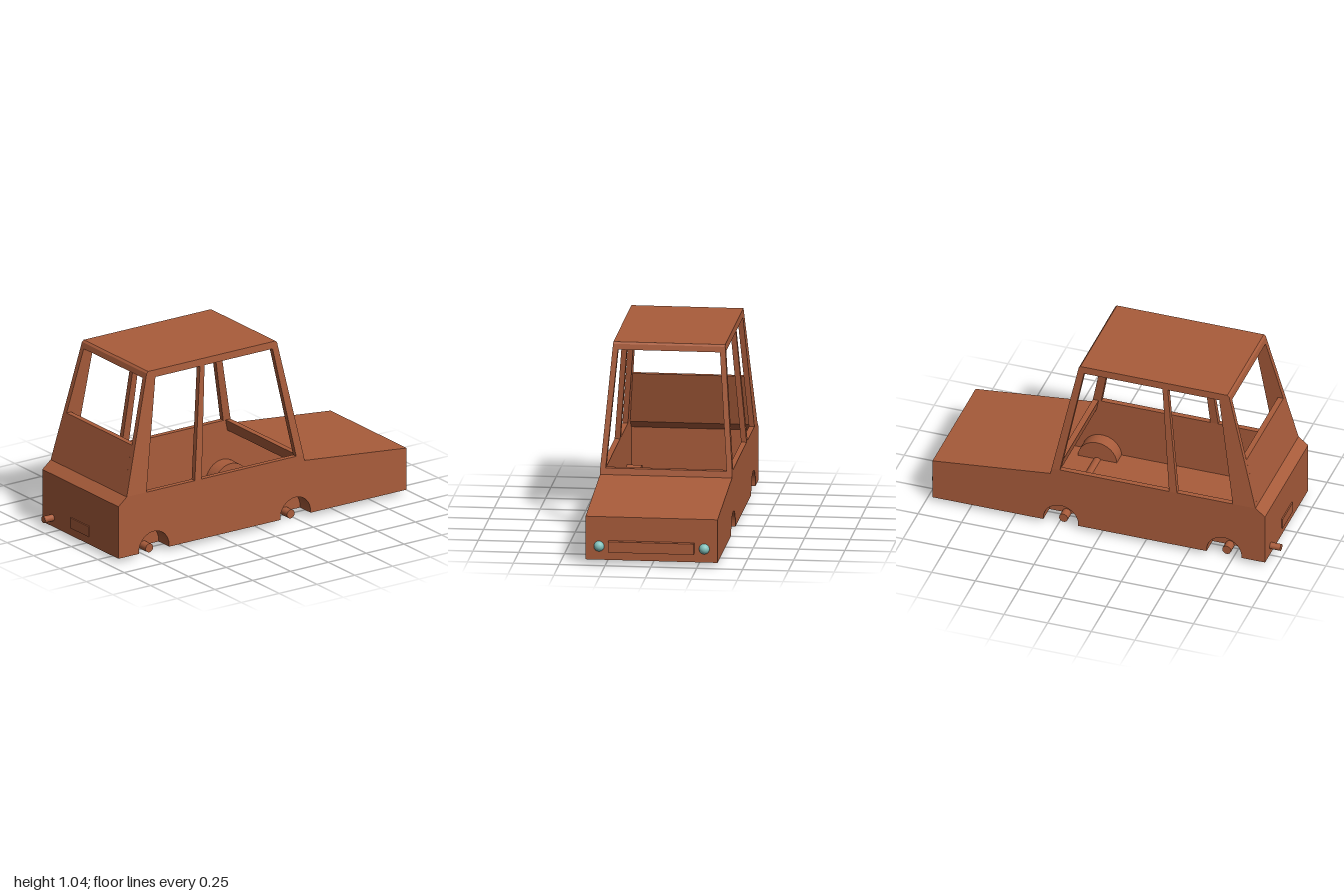
import * as THREE from 'three';

const paint = new THREE.MeshStandardMaterial({ color: 0xa95c3b, side: THREE.DoubleSide });
const glass = new THREE.MeshStandardMaterial({ color: 0x84c4be });

const WALL = 0.03;
const ARCH_Y = 0.035, ARCH_R = 0.1, WELL_Z = 0.26;
const WHEELS = [-0.705, 0.23];

// Half width of the body: straight below the belt line, leaning in above it
const halfWidth = (y) => 0.36 - Math.max(0, y - 0.37) * 0.082;

const polygon = (pts) => new THREE.Shape(pts.map(([x, y]) => new THREE.Vector2(x, y)));

// Extrude a side profile one unit, then place each vertex across the car with zAt(u, y)
function across(shape, zAt) {
  const geo = new THREE.ExtrudeGeometry(shape, { depth: 1, bevelEnabled: false, curveSegments: 16 });
  const p = geo.attributes.position;
  for (let i = 0; i < p.count; i++) p.setZ(i, zAt(p.getZ(i), p.getY(i)));
  geo.computeVertexNormals();
  return geo;
}

export function createModel() {
  const car = new THREE.Group();
  car.name = 'car';
  const add = (name, geo, x = 0, y = 0, z = 0, material = paint) => {
    const mesh = new THREE.Mesh(geo, material);
    mesh.name = name;
    mesh.position.set(x, y, z);
    car.add(mesh);
    return mesh;
  };

  // Lower side with wheel arch cut-outs
  const lower = new THREE.Shape();
  lower.moveTo(-0.94, 0.025);
  for (const x of WHEELS) {
    lower.lineTo(x - ARCH_R, 0.025);
    lower.absarc(x, ARCH_Y, ARCH_R, Math.PI, 0, true);
    lower.lineTo(x + ARCH_R, 0.025);
  }
  for (const [x, y] of [[0.965, 0.025], [0.965, 0.265], [0.29, 0.335], [0.283, 0.37], [-0.885, 0.37], [-0.94, 0.325]])
    lower.lineTo(x, y);

  // Pillars and roof rail around the two side windows
  const frame = polygon([
    [-0.885, 0.37], [-0.755, 0.37], [-0.66, 1.0], [-0.365, 1.0], [-0.435, 0.37], [-0.39, 0.37],
    [-0.335, 1.0], [0.115, 1.0], [0.235, 0.37], [0.283, 0.37], [0.146, 1.03], [0.136, 1.04],
    [-0.705, 1.04], [-0.716, 1.03],
  ]);
  for (const side of [1, -1]) {
    const wall = (u, y) => (side > 0 ? halfWidth(y) - WALL : -halfWidth(y)) + u * WALL;
    const label = side > 0 ? 'left' : 'right';
    add(label + 'LowerSide', across(lower, wall));
    add(label + 'WindowFrame', across(frame, wall));
  }

  // Panels that span between the two sides
  const panels = {
    frontAndHood: [
      [0.965, 0.025], [0.965, 0.265], [0.29, 0.335], [0.283, 0.37], [0.25, 0.37], [0.262, 0.308],
      [0.935, 0.238], [0.935, 0.025],
    ],
    rearPanel: [
      [-0.94, 0.025], [-0.91, 0.025], [-0.91, 0.312], [-0.857, 0.355], [-0.785, 0.64],
      [-0.816, 0.64], [-0.885, 0.37], [-0.94, 0.325],
    ],
    roof: [
      [0.152, 1.0], [0.146, 1.03], [0.136, 1.04], [-0.705, 1.04], [-0.716, 1.03], [-0.724, 1.0],
    ],
  };
  for (const [name, pts] of Object.entries(panels))
    add(name, across(polygon(pts), (u, y) => (2 * u - 1) * (halfWidth(y) - WALL)));

  // Floor, notched at each wheel
  const edge = [[-0.91, 0.33]];
  for (const x of WHEELS)
    edge.push([x - ARCH_R, 0.33], [x - ARCH_R, WELL_Z], [x + ARCH_R, WELL_Z], [x + ARCH_R, 0.33]);
  edge.push([0.935, 0.33]);
  const mirrored = edge.map(([x, z]) => [x, -z]).reverse();
  const floor = new THREE.ExtrudeGeometry(polygon([...edge, ...mirrored]), { depth: 0.015, bevelEnabled: false });
  floor.rotateX(Math.PI / 2);
  add('floor', floor, 0, 0.04, 0);

  // Wheel wells and axles
  const arch = (x, r) => {
    const s = new THREE.Shape();
    s.moveTo(x - r, 0.025);
    s.absarc(x, ARCH_Y, r, Math.PI, 0, true);
    s.lineTo(x + r, 0.025);
    return s;
  };
  for (const x of WHEELS) {
    const ring = arch(x, ARCH_R + 0.012);
    ring.lineTo(x + ARCH_R, 0.025);
    ring.absarc(x, ARCH_Y, ARCH_R, 0, Math.PI, false);
    ring.lineTo(x - ARCH_R, 0.025);
    for (const side of [1, -1]) {
      const span = (a, b) => (u) => (side > 0 ? a + (b - a) * u : -b + (b - a) * u);
      add('wheelWell', across(ring, span(WELL_Z - 0.01, 0.335)));
      add('wheelWellBack', across(arch(x, ARCH_R), span(WELL_Z - 0.01, WELL_Z)));
    }
    add('axle', new THREE.CylinderGeometry(0.025, 0.025, 0.632, 16), x, 0.025, 0).rotation.x = Math.PI / 2;
  }

  // Bumper, lamps, plate and exhaust
  add('frontBumper', new THREE.BoxGeometry(0.045, 0.06, 0.466), 0.973, 0.103, 0);
  add('rearPlate', new THREE.BoxGeometry(0.02, 0.06, 0.17), -0.937, 0.1, 0);
  for (const side of [1, -1])
    add('headlight', new THREE.SphereGeometry(0.029, 16, 12), 0.963, 0.1, side * 0.287, glass);
  add('exhaustPipe', new THREE.CylinderGeometry(0.019, 0.019, 0.13, 16), -0.935, 0.075, -0.265).rotation.z = Math.PI / 2;

  return car;
}
